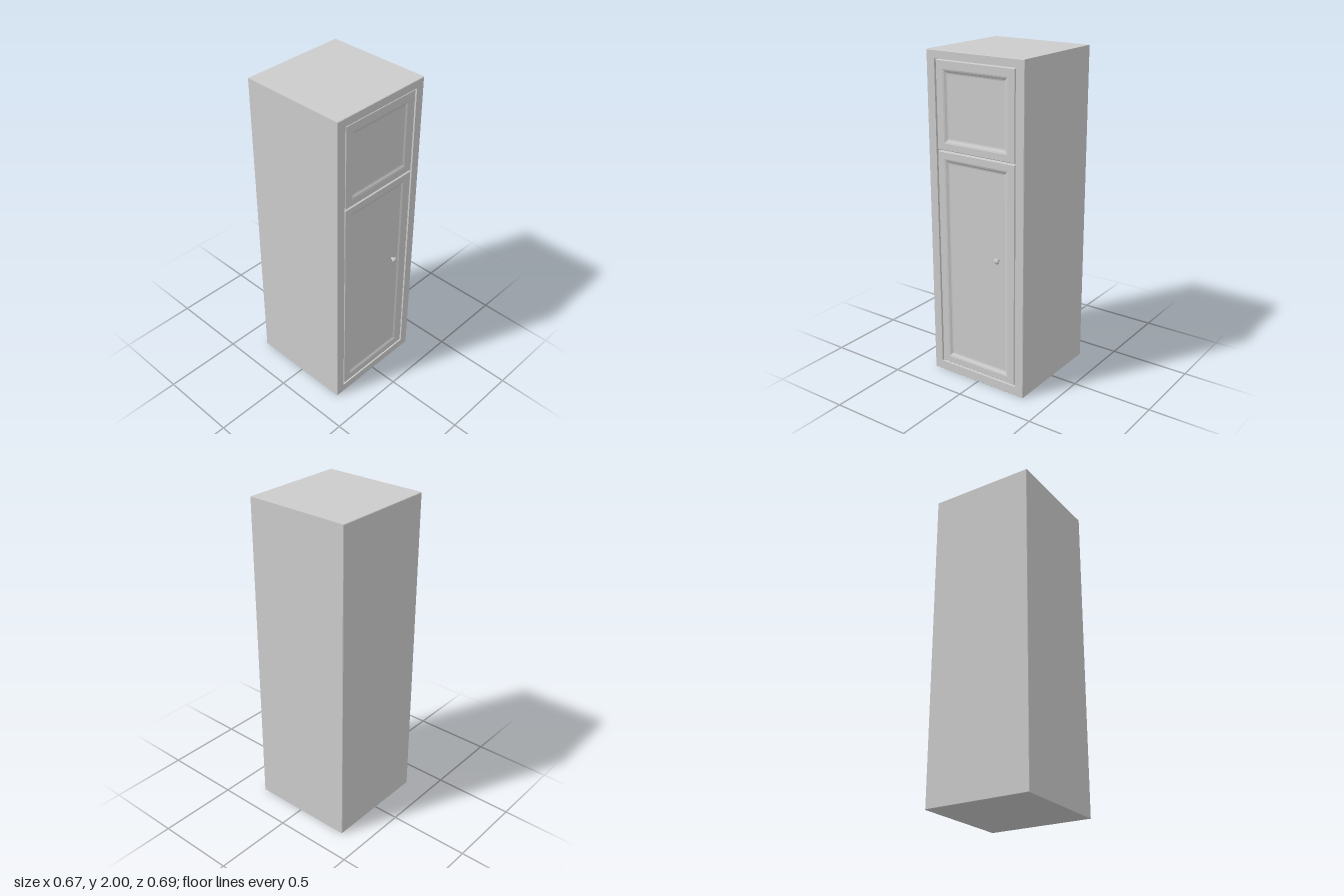
import * as THREE from 'three';

const material = new THREE.MeshStandardMaterial({ color: 0xcccccc });

// Skin through nested rectangles [halfWidth, bottom, top, z], ordered from
// the back outwards and round to the front; both ends are capped.
function rectLoft(name, rings) {
  const pos = [];
  const quad = (a, b, c, d) => [a, b, c, a, c, d].forEach((p) => pos.push(...p));
  const loops = rings.map(([w, y0, y1, z]) => [[-w, y0, z], [w, y0, z], [w, y1, z], [-w, y1, z]]);
  quad(...[...loops[0]].reverse());
  for (let i = 0; i < loops.length - 1; i++) {
    for (let k = 0; k < 4; k++) {
      const n = (k + 1) % 4;
      quad(loops[i][k], loops[i][n], loops[i + 1][n], loops[i + 1][k]);
    }
  }
  quad(...loops[loops.length - 1]);
  const geometry = new THREE.BufferGeometry();
  geometry.setAttribute('position', new THREE.Float32BufferAttribute(pos, 3));
  geometry.computeVertexNormals();
  const mesh = new THREE.Mesh(geometry, material);
  mesh.name = name;
  return mesh;
}

// Door slab with softened edges and a recessed, bevelled panel
function door(name, y0, y1, p0, p1) {
  const w = 0.269, e = 0.003, front = 0.32;
  return rectLoft(name, [
    [w, y0, y1, 0.296],
    [w, y0, y1, front - e],
    [w - e, y0 + e, y1 - e, front],
    [0.222, p0, p1, front],
    [0.213, p0 + 0.009, p1 - 0.009, front - 0.003],
    [0.203, p0 + 0.02, p1 - 0.02, front - 0.01],
    [0.195, p0 + 0.028, p1 - 0.028, front - 0.012],
  ]);
}

export function createModel() {
  const model = new THREE.Group();
  model.name = 'cabinet';

  // Body with chamfered edges and a shallow opening in the front
  const w = 0.333, e = 0.003, back = -0.343, front = 0.322;
  model.add(rectLoft('cabinetBody', [
    [w - e, e, 2 - e, back],
    [w, 0, 2, back + e],
    [w, 0, 2, front - e],
    [w - e, e, 2 - e, front],
    [0.277, 0.057, 1.952, front],
    [0.277, 0.057, 1.952, 0.295],
  ]));

  model.add(door('upperDoor', 1.431, 1.947, 1.472, 1.898));
  model.add(door('lowerDoor', 0.066, 1.423, 0.106, 1.38));

  // Small turned knob
  const profile = [[0.007, 0], [0.008, 0.016], [0.015, 0.019], [0.018, 0.024], [0.015, 0.03], [0.008, 0.034], [0, 0.035]]
    .map(([r, h]) => new THREE.Vector2(r, h));
  const knob = new THREE.Mesh(new THREE.LatheGeometry(profile, 12), material);
  knob.name = 'doorKnob';
  knob.rotation.x = Math.PI / 2;
  knob.position.set(0.153, 0.837, 0.307);
  model.add(knob);

  return model;
}
